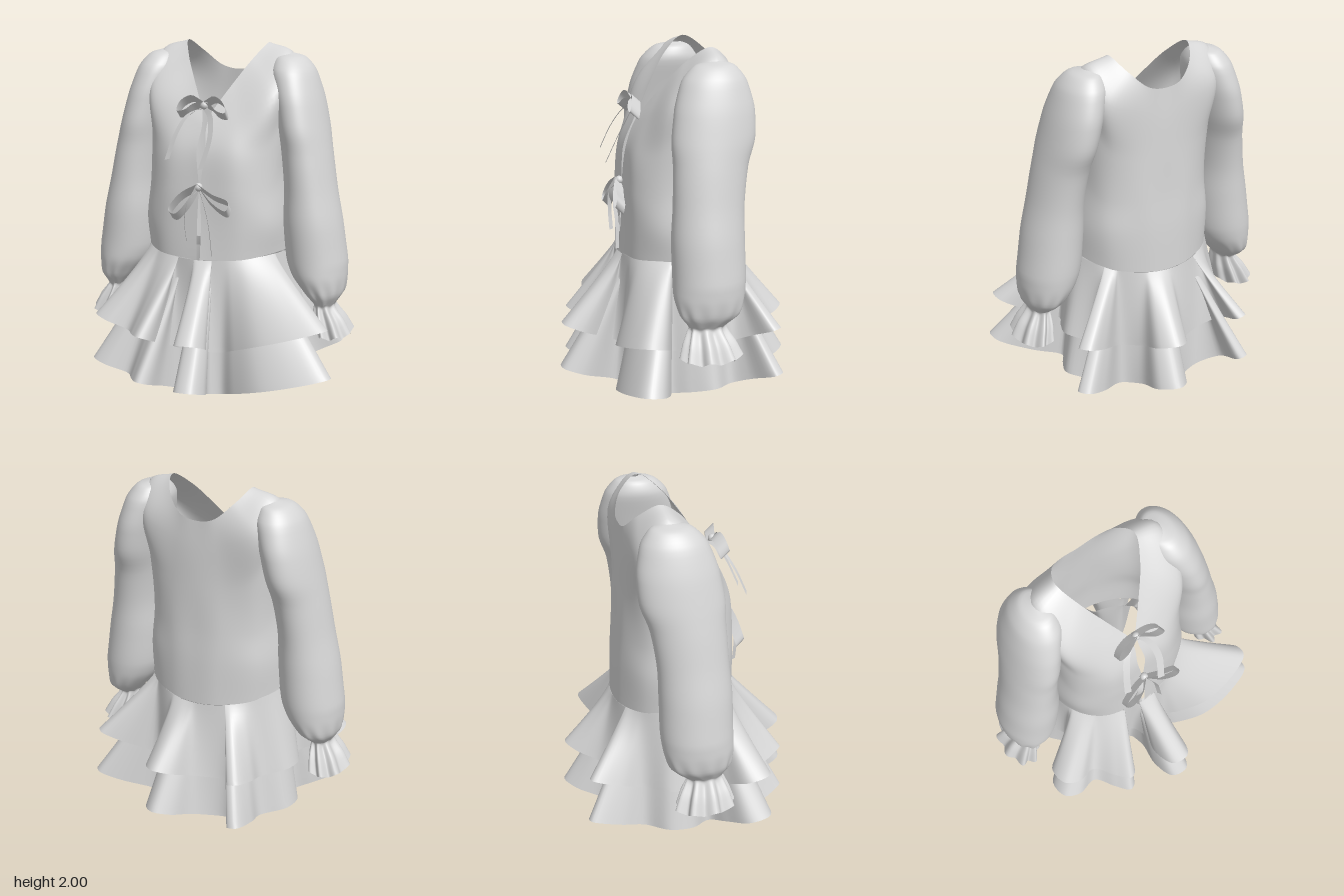
import * as THREE from 'three';
import { mergeVertices } from 'three/addons/utils/BufferGeometryUtils.js';

const V = (x, y, z) => new THREE.Vector3(x, y, z);
const TAU = Math.PI * 2;

const fabric = new THREE.MeshStandardMaterial({ color: 0xd6d6d6, side: THREE.DoubleSide });
fabric.name = 'light grey fabric';

// Smooth cloth from fn(u, v), u around and v along, both 0..1
function cloth(name, fn, nu, nv) {
  const pos = [], index = [];
  for (let j = 0; j <= nv; j++) {
    for (let i = 0; i <= nu; i++) pos.push(...fn(i / nu, j / nv).toArray());
  }
  for (let j = 0; j < nv; j++) {
    for (let i = 0; i < nu; i++) {
      const a = j * (nu + 1) + i, b = a + nu + 1;
      index.push(a, a + 1, b, a + 1, b + 1, b);
    }
  }
  let g = new THREE.BufferGeometry();
  g.setAttribute('position', new THREE.Float32BufferAttribute(pos, 3));
  g.setIndex(index);
  g = mergeVertices(g, 1e-5);
  g.computeVertexNormals();
  const mesh = new THREE.Mesh(g, fabric);
  mesh.name = name;
  return mesh;
}

// Flat ribbon along a path, its width lying along a fixed direction
function ribbon(name, points, width) {
  const path = new THREE.CatmullRomCurve3(points.map(p => V(...p)));
  return cloth(name, (u, v) => path.getPoint(u).addScaledVector(width, v - 0.5), 24, 1);
}

// Bodice: columns from hem to neckline, front opening round to centre back
function bodice() {
  const half = [
    [[.01, .8, .31], [.012, 1, .295], [.006, 1.22, .285], [.025, 1.42, .265], [.014, 1.55, .215], [.03, 1.635, .165]],
    [[.24, .81, .26], [.24, 1, .265], [.22, 1.2, .268], [.2, 1.42, .25], [.18, 1.62, .17], [.115, 1.78, .07]],
    [[.37, .83, .14], [.38, 1, .155], [.36, 1.2, .15], [.35, 1.45, .14], [.37, 1.73, .095], [.2, 1.92, -.04]],
    [[.42, .83, -.05], [.42, 1, -.05], [.39, 1.3, -.07], [.41, 1.7, -.13], [.4, 1.945, -.15], [.25, 2, -.16]],
    [[.33, .785, -.265], [.34, 1, -.265], [.33, 1.2, -.25], [.32, 1.5, -.28], [.35, 1.79, -.305], [.2, 1.93, -.27]],
    [[.15, .76, -.37], [.15, 1, -.365], [.16, 1.2, -.35], [.15, 1.45, -.34], [.14, 1.7, -.335], [.1, 1.84, -.325]],
    [[0, .75, -.39], [0, 1, -.38], [0, 1.2, -.365], [0, 1.45, -.355], [0, 1.65, -.345], [0, 1.82, -.33]],
  ];
  const mirrored = half.slice(0, -1).reverse().map(c => c.map(([x, y, z]) => [-x, y, z]));
  const columns = [...half, ...mirrored].map(c => new THREE.CatmullRomCurve3(c.map(p => V(...p))));
  const rows = new Map();
  const row = v => {
    if (!rows.has(v)) rows.set(v, new THREE.CatmullRomCurve3(columns.map(c => c.getPoint(v))));
    return rows.get(v);
  };
  return cloth('bodice', (u, v) => row(v).getPoint(u), 96, 40);
}

// Skirt hem seen from above: rounded flutes, x and z
const hem = [
  [0, .66], [.1, .67], [.14, .56], [.08, .36], [.14, .31], [.24, .37], [.42, .44], [.66, .42], [.79, .36], [.78, .27], [.6, .17],
  [.43, .12], [.48, .02], [.53, -.12], [.44, -.24], [.5, -.34], [.64, -.44], [.6, -.5], [.48, -.46], [.28, -.33], [.2, -.42],
  [.2, -.6], [.11, -.68], [.02, -.62], [-.05, -.48], [-.2, -.4], [-.33, -.46], [-.35, -.62], [-.41, -.62], [-.42, -.45],
  [-.4, -.3], [-.51, -.18], [-.51, -.04], [-.42, .08], [-.52, .16], [-.65, .26], [-.64, .38], [-.55, .42], [-.42, .39], [-.34, .5],
  [-.27, .58], [-.22, .55], [-.19, .4], [-.13, .29], [-.05, .26], [-.02, .36], [-.04, .52],
];
const hemCurve = new THREE.CatmullRomCurve3(hem.map(([x, z]) => V(x, 0, z)), true);

// One tier flares from the oval waist to the fluted hem; the hem lifts where it swings out
function skirtTier(name, { waist, drop, scale, offset, low, lift }) {
  return cloth(name, (u, v) => {
    const h = hemCurve.getPoint((1 - u) % 1);
    const a = Math.atan2(h.x / 0.42, (h.z + 0.04) / 0.35);
    const r = Math.hypot(h.x, h.z), k = (scale * r + offset) / r;
    const top = V(0.42 * waist * Math.sin(a),
      0.775 + 0.025 * Math.cos(a) + 0.05 * Math.sin(a) ** 2 - drop,
      -0.04 + 0.35 * waist * Math.cos(a));
    const bottom = V(h.x * k, low + lift * Math.max(0, r - 0.3), h.z * k);
    const p = top.clone().lerp(bottom, v);
    p.y = THREE.MathUtils.lerp(top.y, bottom.y, v ** 0.95);
    return p;
  }, 280, 16);
}

// Sleeve rings from shoulder to wrist: y, centre x, radius x, centre z, radius z
const sleeveRings = [
  [1.945, .38, .02, -.15, .03], [1.925, .39, .08, -.14, .11], [1.85, .41, .125, -.13, .18], [1.7, .452, .135, -.12, .225],
  [1.55, .485, .138, -.105, .235], [1.4, .515, .14, -.08, .21], [1.2, .545, .147, -.06, .2], [1, .567, .168, -.05, .205],
  [.8, .592, .174, -.05, .205], [.7, .612, .158, -.045, .2], [.6, .645, .11, -.04, .17], [.53, .655, .055, -.02, .1],
];
const cuffRings = [
  [.545, .655, .065, -.02, .11], [.525, .655, .055, -.02, .1], [.5, .66, .062, -.02, .108],
  [.44, .68, .085, -.025, .135], [.36, .705, .1, -.03, .16],
];

// Tube through oval rings; gather(v) sets the depth of its pleats
function ovalTube(name, rings, side, pleats, gather, nu, nv) {
  const centre = new THREE.CatmullRomCurve3(rings.map(([y, x, , z]) => V(x, y, z)));
  const radius = new THREE.CatmullRomCurve3(rings.map(([, , rx, , rz]) => V(rx, 0, rz)));
  return cloth(name, (u, v) => {
    const c = centre.getPoint(v), r = radius.getPoint(v), a = side * (u % 1) * TAU;
    const k = 1 + gather(v) * Math.sin(pleats * a);
    return V(side * (c.x + r.x * k * Math.cos(a)), c.y + 0.1 * (k - 1), c.z + r.z * k * Math.sin(a));
  }, nu, nv);
}

function sleeve(side) {
  const g = new THREE.Group();
  g.name = side > 0 ? 'leftSleeve' : 'rightSleeve';
  g.add(ovalTube('sleeveBody', sleeveRings, side, 11,
    v => 0.07 * THREE.MathUtils.smoothstep(v, 0.8, 1), 88, 48));
  g.add(ovalTube('cuffFrill', cuffRings, side, 8, v => 0.04 + 0.09 * v, 96, 12));
  return g;
}

// Bow: two ribbon loops, two hanging tails and a knot
function bow(name, knotAt, loops, tails, loopWidth, tailWidth) {
  const g = new THREE.Group();
  g.name = name;
  loops.forEach(p => g.add(ribbon('bowLoop', p, loopWidth)));
  tails.forEach(p => g.add(ribbon('bowTail', p, tailWidth)));
  const knot = new THREE.Mesh(new THREE.SphereGeometry(0.024, 12, 8), fabric);
  knot.name = 'bowKnot';
  knot.position.set(...knotAt);
  g.add(knot);
  return g;
}

export function createModel() {
  const model = new THREE.Group();
  model.name = 'ruffledDress';
  model.add(bodice());
  model.add(skirtTier('upperRuffle', { waist: 1.01, drop: 0, scale: 0.9, offset: 0.055, low: 0.26, lift: 0.38 }));
  model.add(skirtTier('lowerRuffle', { waist: 0.93, drop: 0.05, scale: 1, offset: 0, low: 0, lift: 0.36 }));
  model.add(sleeve(1), sleeve(-1));

  const upperLoop = s => [[0, 1.67, .2], [s * .07, 1.705, .215], [s * .13, 1.67, .23], [s * .145, 1.62, .245], [s * .1, 1.625, .245], [s * .05, 1.66, .23], [0, 1.67, .2]];
  model.add(bow('upperBow', [0, 1.67, .21],
    [upperLoop(1), upperLoop(-1)],
    [
      [[0, 1.66, .21], [-.08, 1.62, .25], [-.13, 1.52, .31], [-.16, 1.38, .37]],
      [[0, 1.66, .21], [.05, 1.61, .25], [.075, 1.5, .32], [.05, 1.34, .39]],
    ],
    V(0, .045, .05), V(.035, .01, .012)));

  model.add(bow('lowerBow', [0, 1.22, .3],
    [
      [[0, 1.22, .3], [.1, 1.17, .32], [.2, 1.14, .34], [.19, 1.09, .35], [.1, 1.13, .34], [0, 1.22, .3]],
      [[0, 1.22, .3], [-.1, 1.16, .32], [-.16, 1.07, .34], [-.12, 1.05, .35], [-.05, 1.12, .34], [0, 1.22, .3]],
    ],
    [
      [[0, 1.21, .3], [-.05, 1.14, .34], [-.07, 1.03, .34], [-.06, .91, .335]],
      [[0, 1.21, .3], [.05, 1.12, .34], [.075, 1, .335], [.095, .84, .34]],
    ],
    V(0, .045, .045), V(.014, 0, .025)));
  return model;
}
